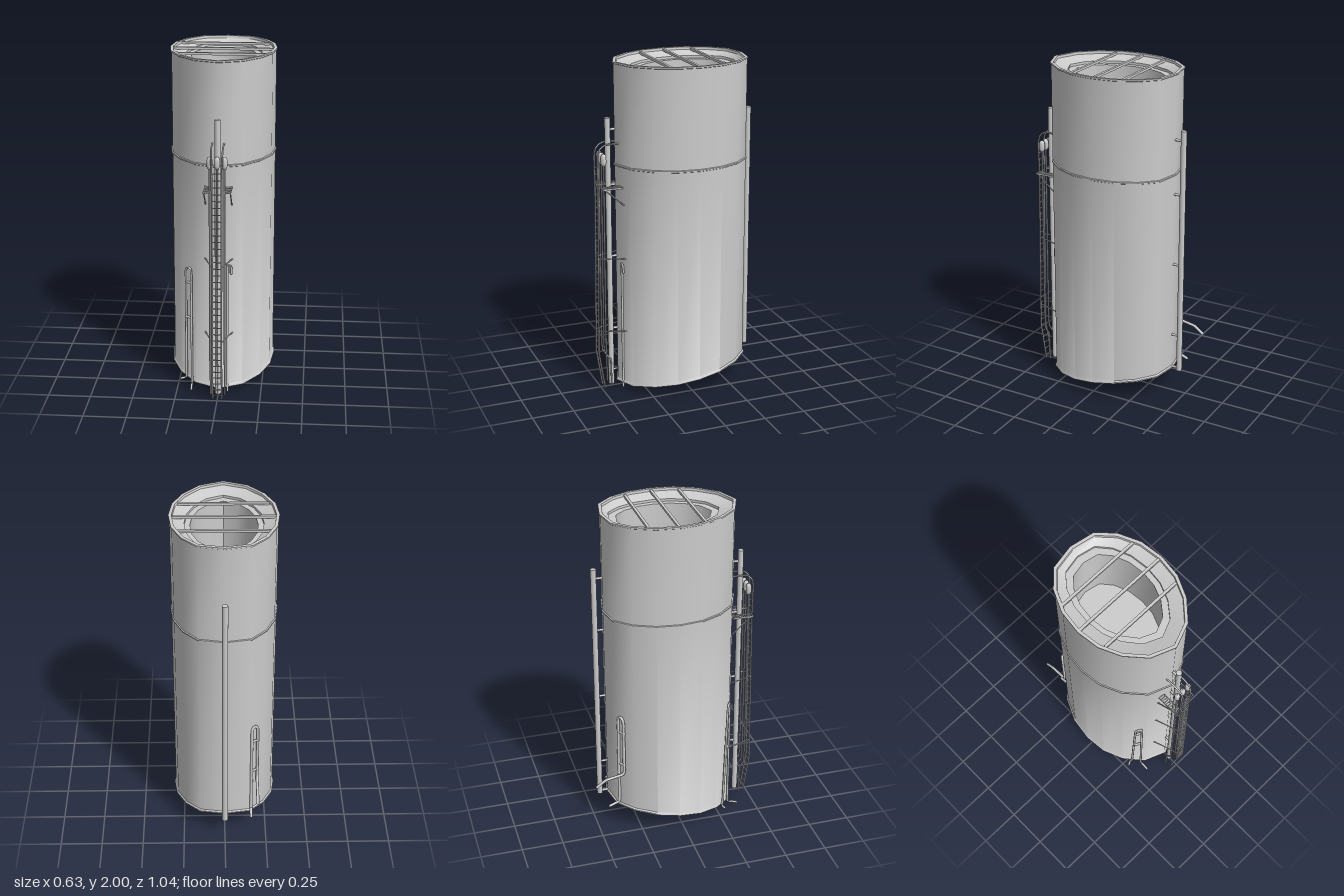
import * as THREE from 'three';
import { toCreasedNormals } from 'three/addons/utils/BufferGeometryUtils.js';

const grey = new THREE.MeshStandardMaterial({ color: 0xcccccc });
grey.name = 'light grey paint';

// Half of the unit outline, back to front along the +x side
const HALF = [[0, -1], [0.48, -0.93], [0.763, -0.7], [0.945, -0.39], [1, -0.045],
  [0.945, 0.29], [0.763, 0.595], [0.45, 0.865], [0, 1]];
const OUTLINE = [...HALF, ...HALF.slice(1, -1).reverse().map(([x, z]) => [-x, z])];

// One horizontal ring; height may be a number or a function of z
function ring(rx, rz, height, cz = -0.008) {
  return OUTLINE.map(([x, z]) => {
    const pz = cz + z * rz;
    return [x * rx, typeof height === 'function' ? height(pz) : height, pz];
  });
}

function loft(rings) {
  const pos = [];
  for (let k = 0; k < rings.length - 1; k++) {
    const n = rings[k].length;
    for (let i = 0; i < n; i++) {
      const j = (i + 1) % n;
      const a = rings[k][i], b = rings[k][j], c = rings[k + 1][j], d = rings[k + 1][i];
      pos.push(...a, ...d, ...b, ...b, ...d, ...c);
    }
  }
  const g = new THREE.BufferGeometry();
  g.setAttribute('position', new THREE.Float32BufferAttribute(pos, 3));
  return toCreasedNormals(g, 0.8);
}

export function createModel() {
  const model = new THREE.Group();
  model.name = 'funnel';
  const v = (p) => new THREE.Vector3(...p);

  function add(name, geometry, parent = model) {
    const m = new THREE.Mesh(geometry, grey);
    m.name = name;
    parent.add(m);
    return m;
  }
  function group(name) {
    const g = new THREE.Group();
    g.name = name;
    model.add(g);
    return g;
  }
  function box(name, w, h, d, x, y, z, parent) {
    add(name, new THREE.BoxGeometry(w, h, d), parent).position.set(x, y, z);
  }
  // Straight round bar between two points
  function rod(name, from, to, r, parent, sides = 6) {
    const a = v(from), b = v(to), dir = b.clone().sub(a);
    const m = add(name, new THREE.CylinderGeometry(r, r, dir.length(), sides), parent);
    m.position.copy(a).add(b).multiplyScalar(0.5);
    m.quaternion.setFromUnitVectors(new THREE.Vector3(0, 1, 0), dir.normalize());
  }
  // Bent pipe with rounded ends
  function pipe(name, points, r, parent) {
    const curve = new THREE.CatmullRomCurve3(points.map(v), false, 'catmullrom', 0.15);
    add(name, new THREE.TubeGeometry(curve, points.length * 8, r, 8), parent);
    for (const p of [points[0], points[points.length - 1]]) {
      add(name + 'End', new THREE.SphereGeometry(r, 8, 6), parent).position.set(...p);
    }
  }

  // Casing: slanted closed base, flange, seam, rolled rim and recessed mouth
  const base = (lift) => (z) => 0.03 + lift + (0.39 - z) * 0.152;
  add('casing', loft([
    ring(0, 0, base(0)),
    ring(0.305, 0.397, base(0)),
    ring(0.313, 0.405, base(0.004)),
    ring(0.313, 0.405, base(0.012)),
    ring(0.305, 0.397, base(0.02)),
    ring(0.305, 0.397, 1.392),
    ring(0.311, 0.403, 1.395),
    ring(0.311, 0.403, 1.403),
    ring(0.305, 0.397, 1.406),
    ring(0.305, 0.397, 1.988),
    ring(0.31, 0.402, 1.991),
    ring(0.31, 0.402, 2),
    ring(0.292, 0.383, 2),
    ring(0.29, 0.381, 1.985),
    ring(0.222, 0.323, 1.96, -0.033),
    ring(0.222, 0.323, 1.945, -0.033),
    ring(0.19, 0.278, 1.945, -0.033),
    ring(0.19, 0.278, 1.55, -0.033),
    ring(0, 0, 1.55, -0.033),
  ]));

  // Bars across the mouth
  for (const [z, half] of [[-0.195, 0.26], [-0.03, 0.293], [0.13, 0.26]]) {
    box('mouthBar', half * 2, 0.014, 0.016, 0, 1.988, z);
  }

  // Tall straight pipes, front and back, with wall brackets
  for (const [name, z, wall, low, high] of [['frontPipe', 0.43, 0.38, 0.02, 1.68], ['backPipe', -0.455, -0.395, 0.15, 1.67]]) {
    const g = group(name);
    rod('riser', [0, low, z], [0, high, z], 0.017, g, 12);
    for (const y of [0.38, 0.84, 1.28, 1.61]) rod('pipeBracket', [0, y, wall], [0, y, z], 0.008, g);
  }
  rod('backPipeFoot', [0, 0.165, -0.455], [0, 0.165, -0.395], 0.009);

  // Ladder with rails curving over to the casing
  const ladder = group('ladder');
  for (const s of [-1, 1]) {
    pipe('ladderRail', [[0.027 * s, 0.01, 0.48], [0.027 * s, 0.24, 0.515], [0.027 * s, 0.4, 0.513],
      [0.027 * s, 1.25, 0.502], [0.03 * s, 1.46, 0.503], [0.032 * s, 1.51, 0.487],
      [0.033 * s, 1.53, 0.45], [0.033 * s, 1.53, 0.375]], 0.005, ladder);
    for (const y of [0.38, 0.84]) {
      rod('ladderBrace', [0.027 * s, y, 0.51], [0.08 * s, y, 0.355], 0.004, ladder);
    }
  }
  for (let y = 0.03; y < 1.42; y += 0.04) {
    const z = y < 0.24 ? 0.48 + (y - 0.01) * 0.152 : 0.515 - (y - 0.24) * 0.012;
    rod('ladderRung', [-0.027, y, z], [0.027, y, z], 0.0035, ladder, 5);
  }

  // Slatted platform and struts on both sides of the ladder
  const platform = group('platform');
  for (const s of [-1, 1]) {
    for (const x of [0.04, 0.077]) box('platformEdge', 0.004, 0.01, 0.125, x * s, 1.275, 0.43, platform);
    for (let i = 0; i < 10; i++) {
      box('platformSlat', 0.04, 0.006, 0.005, 0.058 * s, 1.276, 0.37 + i * 0.0134, platform);
    }
    rod('platformStrut', [0.075 * s, 1.275, 0.48], [0.075 * s, 1.16, 0.35], 0.004, platform);
  }

  // Horns with their feed lines
  const horns = group('horns');
  for (const x of [-0.042, 0, 0.042]) {
    const profile = [[0, 0], [0.011, 0.004], [0.017, 0.02], [0.017, 0.055], [0.011, 0.07], [0, 0.075]];
    add('horn', new THREE.LatheGeometry(profile.map((p) => new THREE.Vector2(...p)), 10), horns)
      .position.set(x, 1.405, 0.47);
    pipe('hornLine', [[x, 1.41, 0.47], [x, 0.26, 0.475], [x, 0.2, 0.447], [x, 0.02, 0.443]], 0.005, horns);
  }

  // Hooked vent beside the ladder
  pipe('hookedVent', [[0.052, 0.01, 0.372], [0.052, 0.785, 0.372], [0.056, 0.802, 0.374],
    [0.064, 0.808, 0.375], [0.071, 0.802, 0.374], [0.074, 0.785, 0.372], [0.074, 0.755, 0.37]], 0.007);

  // Hairpin vents on the right side, front and back
  pipe('frontHairpin', [[-0.232, 0.04, 0.288], [-0.205, 0.045, 0.275], [-0.2, 0.08, 0.285], [-0.197, 0.73, 0.305],
    [-0.193, 0.755, 0.31], [-0.181, 0.766, 0.317], [-0.168, 0.755, 0.325], [-0.164, 0.73, 0.328],
    [-0.163, 0.05, 0.328], [-0.163, 0.035, 0.345], [-0.163, 0.018, 0.388]], 0.007);
  pipe('backHairpin', [[-0.195, 0.325, -0.515], [-0.195, 0.365, -0.46], [-0.195, 0.385, -0.36], [-0.195, 0.41, -0.345],
    [-0.195, 0.74, -0.345], [-0.19, 0.768, -0.35], [-0.178, 0.78, -0.357], [-0.164, 0.768, -0.363],
    [-0.16, 0.74, -0.368], [-0.16, 0.19, -0.37], [-0.16, 0.168, -0.385], [-0.16, 0.15, -0.43]], 0.009);
  for (const y of [0.45, 0.67]) {
    rod('hairpinClip', [-0.2, y, 0.3], [-0.16, y, 0.325], 0.008);
    rod('hairpinClip', [-0.2, y, -0.34], [-0.155, y, -0.366], 0.008);
  }

  return model;
}
